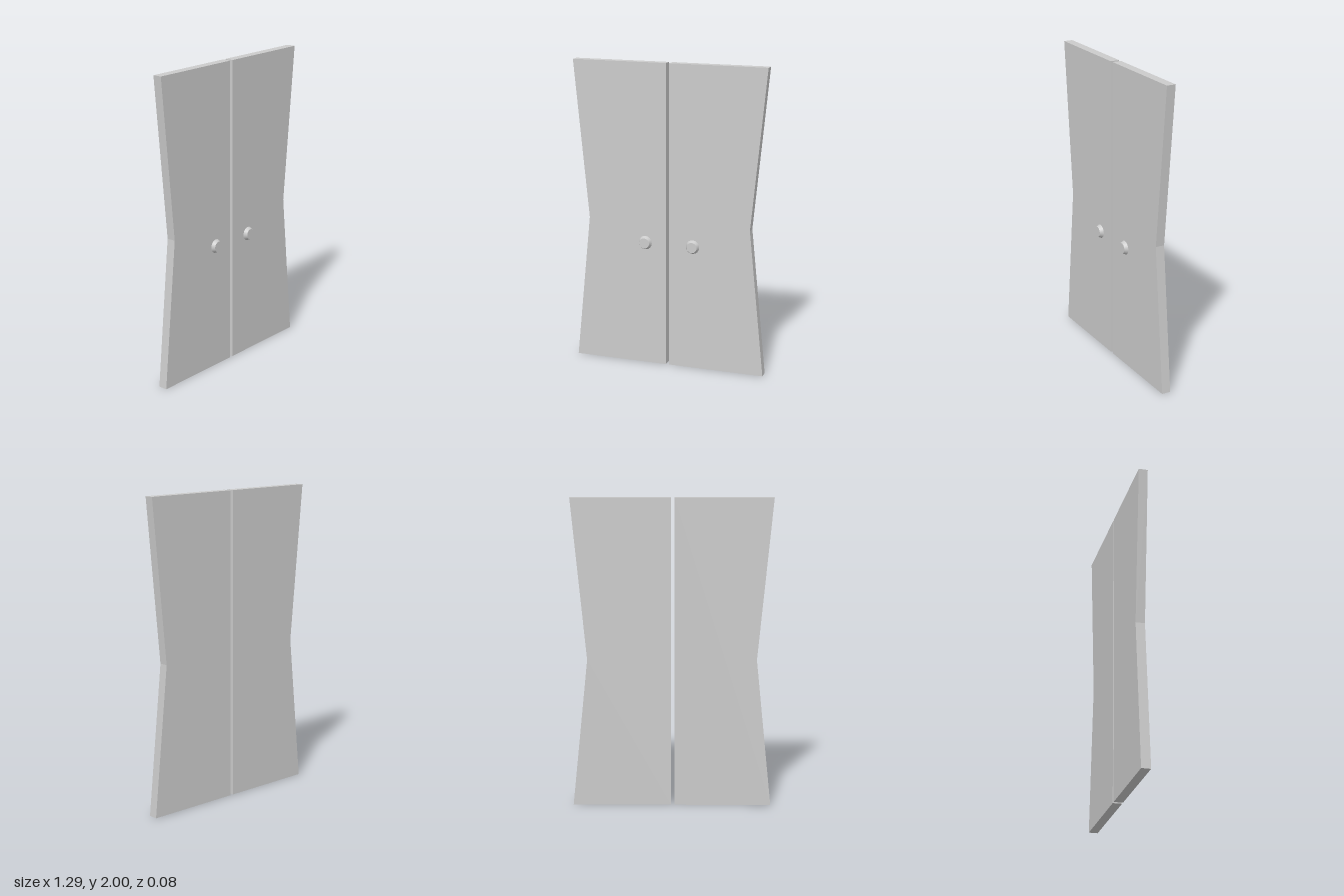
import * as THREE from 'three';

const BACK = -0.041, FRONT = 0.018, KNOB_FRONT = 0.041;
const HEIGHT = 2, WAIST_Y = 0.965;

export function createModel() {
  const model = new THREE.Group();
  model.name = 'doublePanelDoors';
  const material = new THREE.MeshStandardMaterial({ color: 0xcccccc });

  // Flat panel: straight inner edge, outer edge pinched in at the waist
  function addPanel(name, inner, outer, waist) {
    const shape = new THREE.Shape([
      new THREE.Vector2(inner, 0),
      new THREE.Vector2(outer, 0),
      new THREE.Vector2(waist, WAIST_Y),
      new THREE.Vector2(outer, HEIGHT),
      new THREE.Vector2(inner, HEIGHT),
    ]);
    const geometry = new THREE.ExtrudeGeometry(shape, { depth: FRONT - BACK, bevelEnabled: false });
    geometry.translate(0, 0, BACK);
    const panel = new THREE.Mesh(geometry, material);
    panel.name = name;
    model.add(panel);
  }

  // Round knob tapering towards its flat front
  function addKnob(name, x) {
    const depth = KNOB_FRONT - FRONT;
    const geometry = new THREE.CylinderGeometry(0.034, 0.045, depth, 32);
    geometry.rotateX(Math.PI / 2);
    const knob = new THREE.Mesh(geometry, material);
    knob.name = name;
    knob.position.set(x, 0.825, FRONT + depth / 2);
    model.add(knob);
  }

  addPanel('leftDoor', 0.006, 0.643, 0.543);
  addPanel('rightDoor', -0.017, -0.645, -0.546);
  addKnob('leftKnob', 0.164);
  addKnob('rightKnob', -0.159);

  return model;
}
